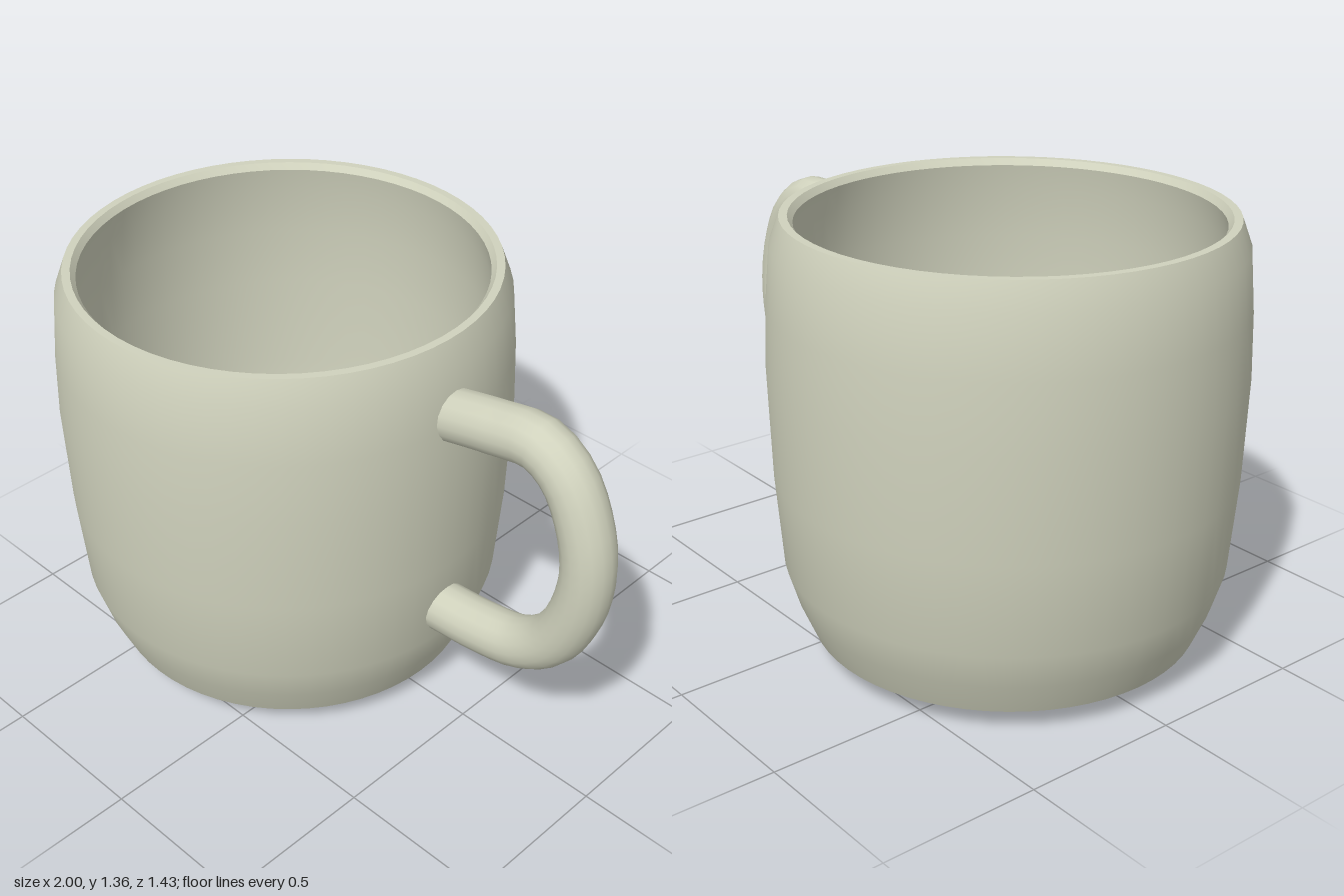
import * as THREE from 'three';
import { toCreasedNormals } from 'three/addons/utils/BufferGeometryUtils.js';

export function createModel() {
  const mug = new THREE.Group();
  mug.name = 'mug';
  const ceramic = new THREE.MeshStandardMaterial({ color: 0xd0d2bd });

  // Cup: one closed profile, up the outside, over the rim, down the inside
  const profile = [
    [0, 0], [0.44, 0], [0.52, 0.025], [0.6, 0.07],
    [0.645, 0.175], [0.68, 0.29], [0.703, 0.58], [0.713, 0.9], [0.706, 1.1], [0.69, 1.28], [0.66, 1.36],
    [0.635, 1.36], [0.62, 1.34], [0.635, 1.26], [0.65, 1.1], [0.655, 0.9], [0.645, 0.58], [0.625, 0.3],
    [0.595, 0.18], [0.55, 0.12], [0.49, 0.09], [0, 0.08],
  ].map(([r, y]) => new THREE.Vector2(r, y));
  const cup = new THREE.Mesh(toCreasedNormals(new THREE.LatheGeometry(profile, 64), 0.62), ceramic);
  cup.name = 'cup';
  cup.position.x = -0.285;
  mug.add(cup);

  // Handle: round tube whose ends are buried in the cup wall
  const path = new THREE.CatmullRomCurve3([
    [0.385, 1.12], [0.57, 1.16], [0.72, 1.18], [0.82, 1.12], [0.893, 0.98], [0.917, 0.84],
    [0.893, 0.68], [0.82, 0.535], [0.71, 0.45], [0.56, 0.415], [0.385, 0.4],
  ].map(([x, y]) => new THREE.Vector3(x, y, 0)));
  const handle = new THREE.Mesh(new THREE.TubeGeometry(path, 32, 0.081, 16), ceramic);
  handle.name = 'handle';
  mug.add(handle);

  return mug;
}
